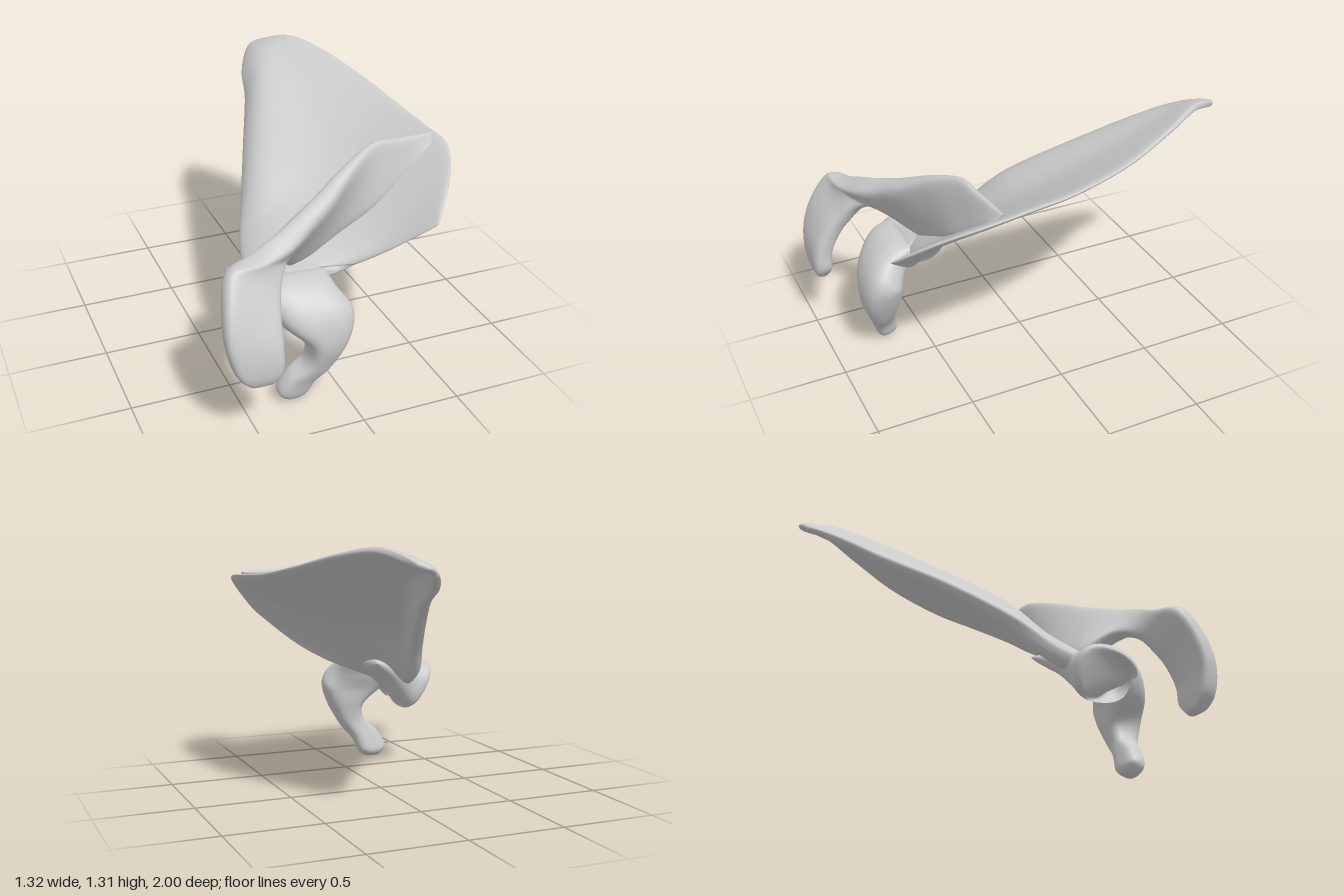
import * as THREE from 'three';

const material = new THREE.MeshStandardMaterial({ color: 0xcccccc });

// Smooth interpolation through a list of [x, y, z, thickness] points
function sample(points, t) {
  const last = points.length - 1;
  const i = Math.min(Math.floor(t * last), last - 1);
  const f = t * last - i;
  const at = (k) => points[Math.max(0, Math.min(last, k))];
  const [a, b, c, d] = [at(i - 1), at(i), at(i + 1), at(i + 2)];
  return b.map((_, k) => 0.5 * (2 * b[k] + (c[k] - a[k]) * f
    + (2 * a[k] - 5 * b[k] + 4 * c[k] - d[k]) * f * f
    + (3 * b[k] - a[k] - 3 * c[k] + d[k]) * f * f * f));
}

// Closed rounded body: a curved mid surface through the stations, thickened both ways.
// Higher ku / kv give flatter faces with tighter edges across / along the body.
function slab(name, stations, ku, kv, nu = 36, nv = 64) {
  const ease = (i, n) => (1 - Math.cos((Math.PI * i) / n)) / 2;
  const round = (w, k) => Math.sqrt(Math.max(0, 1 - Math.pow(Math.abs(2 * w - 1), k)));
  const mid = [];
  for (let j = 0; j <= nv; j++) {
    const row = [];
    for (let i = 0; i <= nu; i++) {
      const p = sample(stations.map((s) => sample(s, ease(i, nu))), ease(j, nv));
      row.push({ p: new THREE.Vector3(p[0], p[1], p[2]), t: Math.max(p[3], 0.01) });
    }
    mid.push(row);
  }
  const at = (i, j) => mid[Math.max(0, Math.min(nv, j))][Math.max(0, Math.min(nu, i))].p;
  const pos = [], ids = [[], []], index = [];
  [1, -1].forEach((side, s) => {
    for (let j = 0; j <= nv; j++) for (let i = 0; i <= nu; i++) {
      const edge = i === 0 || j === 0 || i === nu || j === nv;
      if (s && edge) { ids[1].push(ids[0][j * (nu + 1) + i]); continue; }
      const n = at(i + 1, j).clone().sub(at(i - 1, j))
        .cross(at(i, j + 1).clone().sub(at(i, j - 1))).normalize();
      const h = edge ? 0 : mid[j][i].t / 2 * round(ease(i, nu), ku) * round(ease(j, nv), kv);
      ids[s].push(pos.length / 3);
      pos.push(...at(i, j).clone().addScaledVector(n, side * h).toArray());
    }
    for (let j = 0; j < nv; j++) for (let i = 0; i < nu; i++) {
      const a = ids[s][j * (nu + 1) + i], b = ids[s][j * (nu + 1) + i + 1];
      const d = ids[s][(j + 1) * (nu + 1) + i], c = ids[s][(j + 1) * (nu + 1) + i + 1];
      if (s) index.push(a, c, b, a, d, c);
      else index.push(a, b, c, a, c, d);
    }
  });
  const geo = new THREE.BufferGeometry();
  geo.setAttribute('position', new THREE.Float32BufferAttribute(pos, 3));
  geo.setIndex(index);
  geo.computeVertexNormals();
  const mesh = new THREE.Mesh(geo, material);
  mesh.name = name;
  return mesh;
}

export function createModel() {
  const group = new THREE.Group();
  group.name = 'shoulderBlade';

  // Blade: rows from the rear tip to the front border, outer edge - ridge - middle - inner edge
  group.add(slab('blade', [
    [[0.15, 1.17, -0.97, 0.04], [0.18, 1.2, -0.995, 0.04], [0.21, 1.21, -1.0, 0.04], [0.25, 1.22, -0.97, 0.04]],
    [[0.07, 1.09, -0.8, 0.06], [0.14, 1.19, -0.8, 0.05], [0.25, 1.25, -0.81, 0.04], [0.36, 1.285, -0.79, 0.04]],
    [[0.02, 1.01, -0.6, 0.07], [0.1, 1.14, -0.6, 0.06], [0.28, 1.2, -0.6, 0.035], [0.47, 1.255, -0.58, 0.035]],
    [[-0.1, 0.88, -0.3, 0.08], [0.0, 1.01, -0.3, 0.07], [0.26, 1.08, -0.3, 0.03], [0.57, 1.19, -0.3, 0.035]],
    [[-0.22, 0.71, 0.0, 0.09], [-0.11, 0.85, 0.0, 0.09], [0.22, 0.96, 0.0, 0.03], [0.625, 1.14, 0.0, 0.035]],
    [[-0.31, 0.55, 0.2, 0.11], [-0.15, 0.7, 0.2, 0.1], [0.2, 0.88, 0.22, 0.03], [0.645, 1.12, 0.25, 0.035]],
    [[-0.33, 0.49, 0.4, 0.13], [-0.14, 0.62, 0.4, 0.11], [0.2, 0.81, 0.42, 0.03], [0.655, 1.1, 0.48, 0.035]],
    [[-0.2, 0.54, 0.53, 0.11], [-0.03, 0.61, 0.55, 0.08], [0.22, 0.76, 0.6, 0.03], [0.57, 1.02, 0.67, 0.03]],
    [[0.0, 0.6, 0.61, 0.05], [0.12, 0.63, 0.64, 0.04], [0.25, 0.72, 0.72, 0.03], [0.42, 0.88, 0.85, 0.03]],
  ], 10, 16, 44, 90));

  // Spine ridge sweeping out into the flat overhanging hook: crest point, root point
  group.add(slab('spineAndHook', [
    [[0.63, 1.13, 0.38, 0.03], [0.61, 1.08, 0.42, 0.04]],
    [[0.42, 1.14, 0.41, 0.04], [0.42, 0.93, 0.45, 0.06]],
    [[0.27, 1.15, 0.44, 0.05], [0.26, 0.82, 0.47, 0.08]],
    [[0.1, 1.09, 0.53, 0.08], [0.08, 0.72, 0.46, 0.09]],
    [[-0.05, 1.01, 0.62, 0.11], [-0.09, 0.63, 0.46, 0.1]],
    [[-0.18, 0.95, 0.69, 0.12], [-0.2, 0.62, 0.47, 0.11]],
    [[-0.31, 0.9, 0.76, 0.12], [-0.27, 0.74, 0.62, 0.1]],
    [[-0.46, 0.86, 0.79, 0.11], [-0.33, 0.74, 0.74, 0.1]],
    [[-0.6, 0.83, 0.81, 0.1], [-0.37, 0.65, 0.83, 0.1]],
    [[-0.65, 0.69, 0.89, 0.1], [-0.385, 0.57, 0.89, 0.1]],
    [[-0.66, 0.53, 0.94, 0.1], [-0.39, 0.47, 0.94, 0.1]],
    [[-0.62, 0.38, 0.95, 0.1], [-0.395, 0.37, 0.95, 0.1]],
    [[-0.54, 0.3, 0.94, 0.08], [-0.45, 0.3, 0.94, 0.08]],
  ], 5, 24, 36, 110));

  // Neck flaring into the oval joint socket
  group.add(slab('jointSocket', [
    [[-0.08, 0.62, 0.22, 0.06], [-0.06, 0.62, 0.6, 0.06]],
    [[-0.22, 0.55, 0.27, 0.14], [-0.2, 0.55, 0.62, 0.14]],
    [[-0.32, 0.49, 0.29, 0.23], [-0.3, 0.5, 0.64, 0.21]],
    [[-0.39, 0.45, 0.29, 0.31], [-0.36, 0.48, 0.65, 0.28]],
    [[-0.41, 0.44, 0.32, 0.28], [-0.37, 0.47, 0.63, 0.25]],
  ], 2.2, 14));

  // Beak bending forward and down: outer edge, inner edge
  group.add(slab('beak', [
    [[-0.36, 0.61, 0.57, 0.1], [-0.04, 0.61, 0.58, 0.1]],
    [[-0.37, 0.54, 0.65, 0.18], [-0.01, 0.54, 0.67, 0.17]],
    [[-0.31, 0.43, 0.72, 0.21], [0.045, 0.455, 0.74, 0.2]],
    [[-0.2, 0.32, 0.75, 0.21], [0.015, 0.34, 0.75, 0.19]],
    [[-0.2, 0.22, 0.74, 0.15], [-0.06, 0.2, 0.74, 0.14]],
    [[-0.28, 0.14, 0.72, 0.12], [-0.13, 0.11, 0.71, 0.12]],
    [[-0.325, 0.05, 0.7, 0.11], [-0.165, 0.03, 0.69, 0.11]],
    [[-0.28, 0.0, 0.68, 0.09], [-0.22, 0.0, 0.68, 0.09]],
  ], 2.6, 12));

  return group;
}
